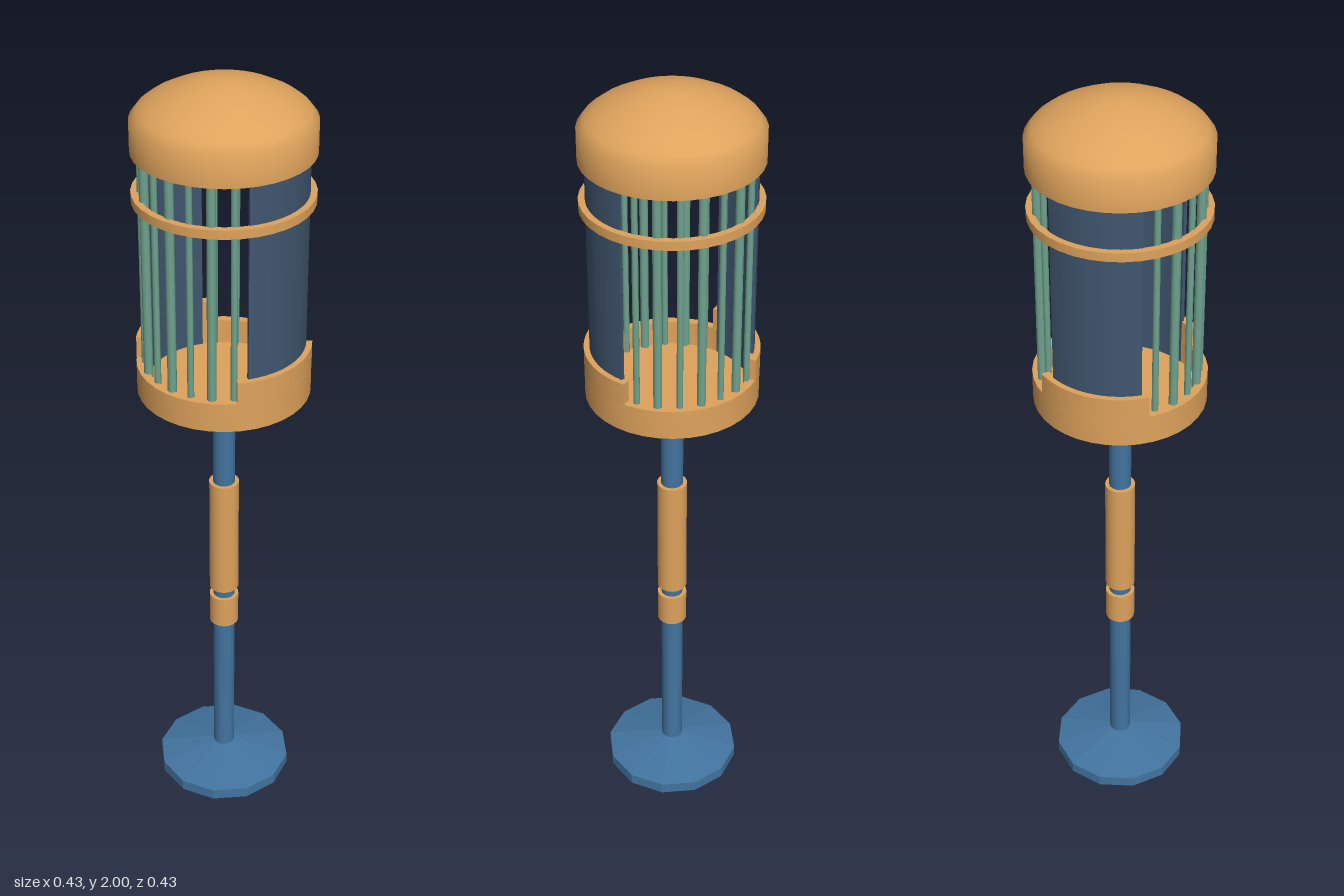
import * as THREE from 'three';
import { toCreasedNormals } from 'three/addons/utils/BufferGeometryUtils.js';

const rad = THREE.MathUtils.degToRad;

function material(name, color, side = THREE.FrontSide) {
  const m = new THREE.MeshStandardMaterial({ color, side });
  m.name = name;
  return m;
}

export function createModel() {
  const group = new THREE.Group();
  const copper = material('warm copper', 0xdfa35c);
  const poleBlue = material('pole blue', 0x42749f);
  const slate = material('slate panel', 0x40566f);
  const sage = material('sage bars', 0x70a48f);

  function add(name, geometry, mat, y = 0) {
    const mesh = new THREE.Mesh(geometry, mat);
    mesh.name = name;
    mesh.position.y = y;
    group.add(mesh);
    return mesh;
  }

  // Turned part from [radius, height] points, listed from the outside bottom upwards
  function turned(points, sides = 36, crease = 0.6) {
    const profile = points.map(([r, y]) => new THREE.Vector2(r, y));
    return toCreasedNormals(new THREE.LatheGeometry(profile, sides), crease);
  }

  // Upright curved wall between two angles, measured from +x towards -z
  function curvedWall(inner, outer, from, to, height) {
    const shape = new THREE.Shape();
    shape.absarc(0, 0, outer, rad(from), rad(to), false);
    shape.absarc(0, 0, inner, rad(to), rad(from), true);
    const geo = new THREE.ExtrudeGeometry(shape, { depth: height, bevelEnabled: false, curveSegments: 14 });
    geo.rotateX(-Math.PI / 2);
    return toCreasedNormals(geo, 0.6);
  }

  // Faceted foot
  const foot = turned([[0, 0], [0.177, 0], [0.177, 0.03], [0.03, 0.066], [0, 0.066]], 12, 0.1);
  add('foot', foot, poleBlue);

  // Pole with two grip sleeves
  add('pole', new THREE.CylinderGeometry(0.028, 0.028, 1.17, 16), poleBlue, 0.635);
  add('longSleeve', new THREE.CylinderGeometry(0.038, 0.038, 0.33, 18), copper, 0.77);
  add('shortSleeve', new THREE.CylinderGeometry(0.038, 0.038, 0.087, 18), copper, 0.5365);

  // Hollow cup below the cage
  add('cup', turned([[0, 1.215], [0.211, 1.215], [0.211, 1.29], [0.19, 1.29], [0.19, 1.228], [0, 1.228]]), copper);

  // Raised cup sides and curved side panels
  for (const [side, turn] of [['left', 0], ['right', 180]]) {
    add(side + 'CupRim', curvedWall(0.19, 0.211, turn - 42, turn + 37, 0.057), copper, 1.288);
    add(side + 'Panel', curvedWall(0.188, 0.197, turn - 34, turn + 33, 0.615), slate, 1.228);
  }

  // Cage bars, front and back
  for (const turn of [0, 180]) {
    for (let i = -3; i <= 3; i++) {
      const r = i % 2 === 0 ? 0.011 : 0.008;
      const a = rad(turn + i * 15.5);
      const bar = add('cageBar', new THREE.CylinderGeometry(r, r, 0.615, 8), sage, 1.5355);
      bar.position.x = Math.sin(a) * 0.19;
      bar.position.z = Math.cos(a) * 0.19;
    }
  }

  // Band around the cage
  add('band', turned([[0.196, 1.713], [0.213, 1.713], [0.213, 1.735], [0.196, 1.735], [0.196, 1.713]]), copper);

  // Domed cap, hollow underneath
  add('cap', turned([
    [0, 1.965], [0.09, 1.95], [0.16, 1.92], [0.19, 1.89], [0.19, 1.833],
    [0.213, 1.833], [0.213, 1.908], [0.197, 1.929], [0.172, 1.948], [0.135, 1.967],
    [0.085, 1.986], [0.04, 1.997], [0, 2],
  ], 36, 0.95), copper);

  return group;
}
